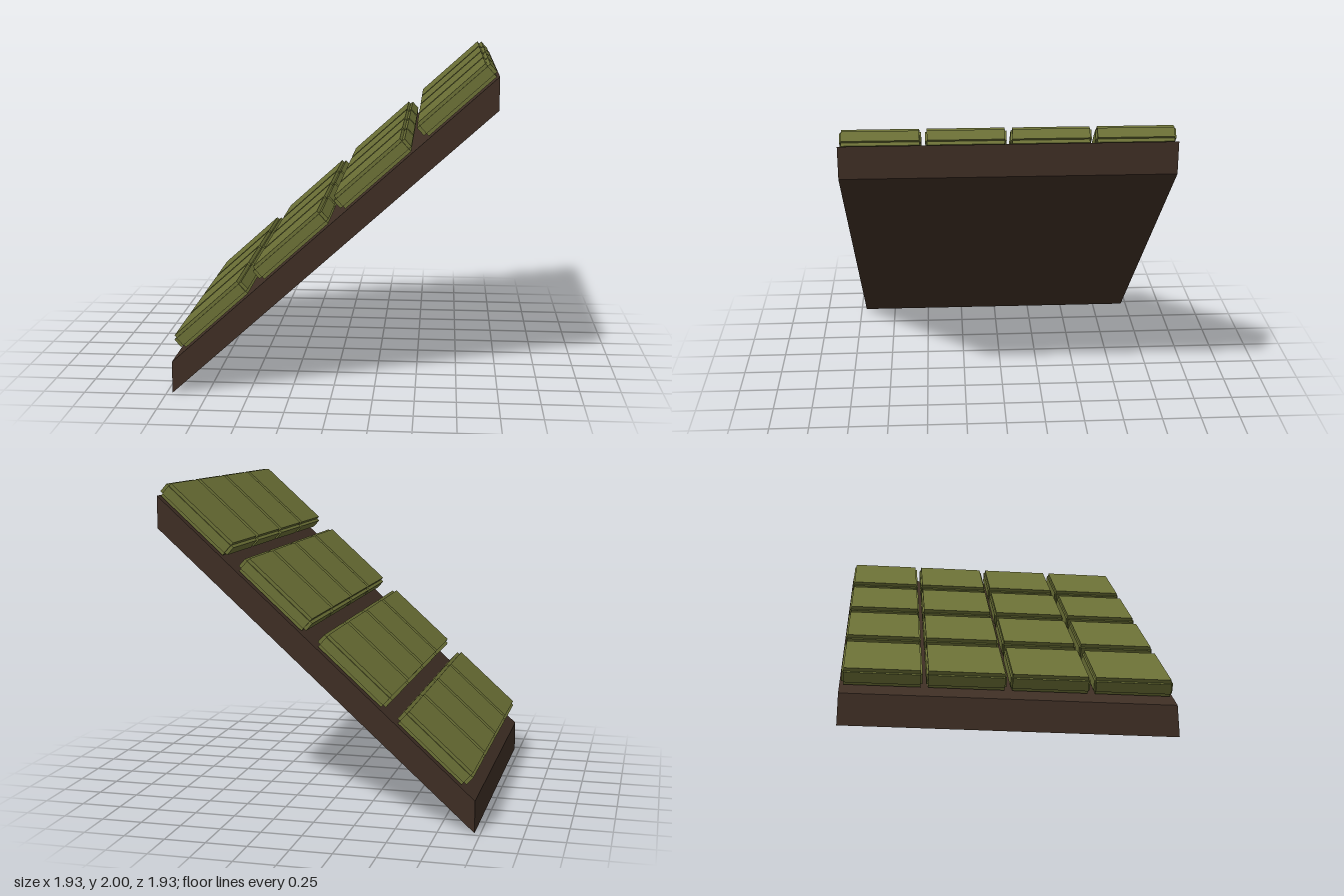
import * as THREE from 'three';

const HALF = 0.965;      // half width of the slab in x and z
const RISE = 1.737;      // climb of the slope from end to end
const THICK = 0.194;     // vertical thickness of the slab
const PITCH = HALF / 2;  // tile spacing
const SLOPE = Math.atan2(RISE, HALF * 2);

export function createModel() {
  const root = new THREE.Group();
  root.name = 'tiledRamp';

  const wood = new THREE.MeshStandardMaterial({ color: 0x3e2e24 });
  wood.name = 'dark brown';
  const olive = new THREE.MeshStandardMaterial({ color: 0x6b7036 });
  olive.name = 'olive green';

  // Sloping slab with upright ends
  const side = new THREE.Shape([
    new THREE.Vector2(-HALF, 0),
    new THREE.Vector2(HALF, RISE),
    new THREE.Vector2(HALF, RISE + THICK),
    new THREE.Vector2(-HALF, THICK),
  ]);
  const slabGeometry = new THREE.ExtrudeGeometry(side, { depth: HALF * 2, bevelEnabled: false });
  slabGeometry.translate(0, 0, -HALF);
  const slab = new THREE.Mesh(slabGeometry, wood);
  slab.name = 'slab';
  root.add(slab);

  // Each tile is three crossing boxes, which leaves its edges stepped
  const tileParts = [
    ['tileFace', new THREE.BoxGeometry(0.514, 0.1, 0.44)],
    ['tileEnds', new THREE.BoxGeometry(0.554, 0.06, 0.44)],
    ['tileSides', new THREE.BoxGeometry(0.514, 0.06, 0.46)],
  ];

  // Four by four tiles lying just above the slope
  for (let row = 0; row < 4; row++) {
    for (let column = 0; column < 4; column++) {
      const x = (row - 1.5) * PITCH;
      const tile = new THREE.Group();
      tile.name = 'tile';
      for (const [name, geometry] of tileParts) {
        const part = new THREE.Mesh(geometry, olive);
        part.name = name;
        tile.add(part);
      }
      tile.position.set(x, RISE / 2 + THICK + 0.08 + x * Math.tan(SLOPE), (column - 1.5) * PITCH);
      tile.rotation.z = SLOPE;
      root.add(tile);
    }
  }
  return root;
}
